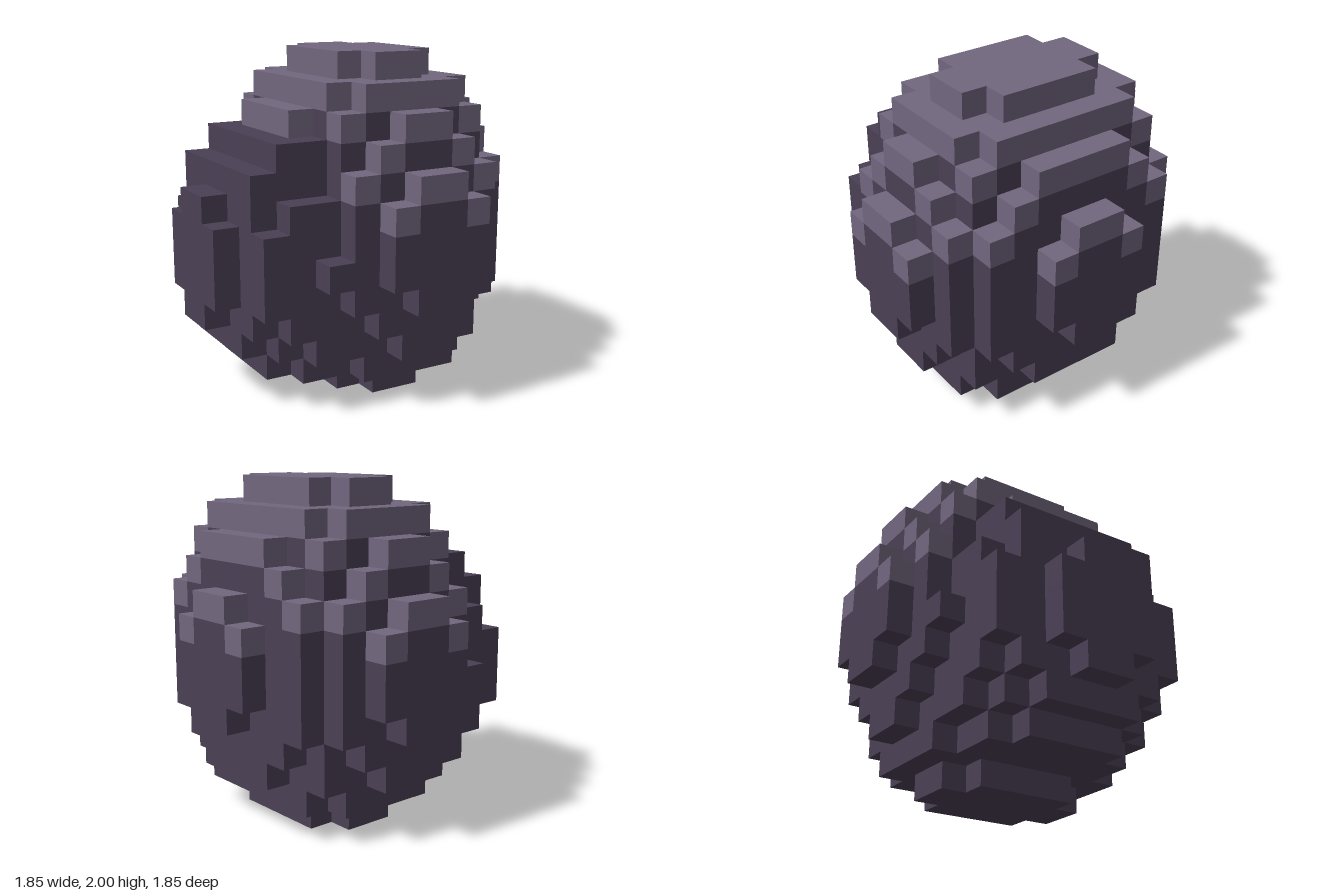
import * as THREE from 'three';
import { mergeGeometries } from 'three/addons/utils/BufferGeometryUtils.js';

const U = 2 / 13; // edge of one block

// Stepped egg: for each x slice, the [lowest, highest] block of every column,
// listed outward from the middle plane; both z halves are mirrored.
const tip = [[0, 12], [0, 12], [1, 11], [1, 11], [3, 9], [5, 7]];
const middle = [[0, 12], [0, 12], [0, 12], [1, 11], [2, 10], [4, 8]];
const SLICES = [
  [[3, 7], [4, 6]],
  [[2, 8], [2, 8], [3, 8], [4, 6]],
  [[1, 9], [1, 9], [2, 9], [3, 7]],
  [[1, 10], [1, 10], [1, 9], [2, 7], [5, 5]],
  [[1, 11], [1, 11], [1, 11], [2, 10], [4, 8]],
  tip, middle, middle, tip,
  [[1, 11], [1, 11], [1, 11], [2, 10], [4, 8]],
  [[2, 10], [2, 10], [3, 9], [4, 8]],
  [[4, 8], [5, 7]],
];

const column = (i, k) => SLICES[i]?.[k < 6 ? 5 - k : k - 6];

function filled(i, j, k) {
  const c = column(i, k);
  return !!c && j >= c[0] && j <= c[1];
}

// The top block of each column is pale, except on the bare dark flank
function isPale(i, j, k) {
  const ring = k < 6 ? 5 - k : k - 6;
  return j === column(i, k)[1] && (i > 3 || (i === 3 && ring < 2));
}

// One outward face per direction: [step, rotation about x, rotation about y]
const FACES = [
  [[0, 0, 1], 0, 0], [[0, 0, -1], 0, Math.PI],
  [[1, 0, 0], 0, Math.PI / 2], [[-1, 0, 0], 0, -Math.PI / 2],
  [[0, 1, 0], -Math.PI / 2, 0], [[0, -1, 0], Math.PI / 2, 0],
].map(([step, rx, ry]) => ({
  step,
  quad: new THREE.PlaneGeometry(U, U).rotateX(rx).rotateY(ry)
    .translate(step[0] * U / 2, step[1] * U / 2, step[2] * U / 2),
}));

export function createModel() {
  const dark = [], pale = [];
  for (let i = 0; i < 12; i++) {
    for (let k = 0; k < 12; k++) {
      const c = column(i, k);
      if (!c) continue;
      for (let j = c[0]; j <= c[1]; j++) {
        for (const { step: [dx, dy, dz], quad } of FACES) {
          if (filled(i + dx, j + dy, k + dz)) continue; // skip buried faces
          const face = quad.clone().translate((i - 5.5) * U, (j + 0.5) * U, (k - 5.5) * U);
          (isPale(i, j, k) ? pale : dark).push(face);
        }
      }
    }
  }

  const darkPurple = new THREE.MeshStandardMaterial({ color: 0x4a4055 });
  darkPurple.name = 'dark purple';
  const palePurple = new THREE.MeshStandardMaterial({ color: 0x72677f });
  palePurple.name = 'pale purple';

  const egg = new THREE.Group();
  egg.name = 'egg';
  const shell = new THREE.Mesh(mergeGeometries(dark), darkPurple);
  shell.name = 'shell';
  const crust = new THREE.Mesh(mergeGeometries(pale), palePurple);
  crust.name = 'paleCrust';
  egg.add(shell, crust);
  return egg;
}
